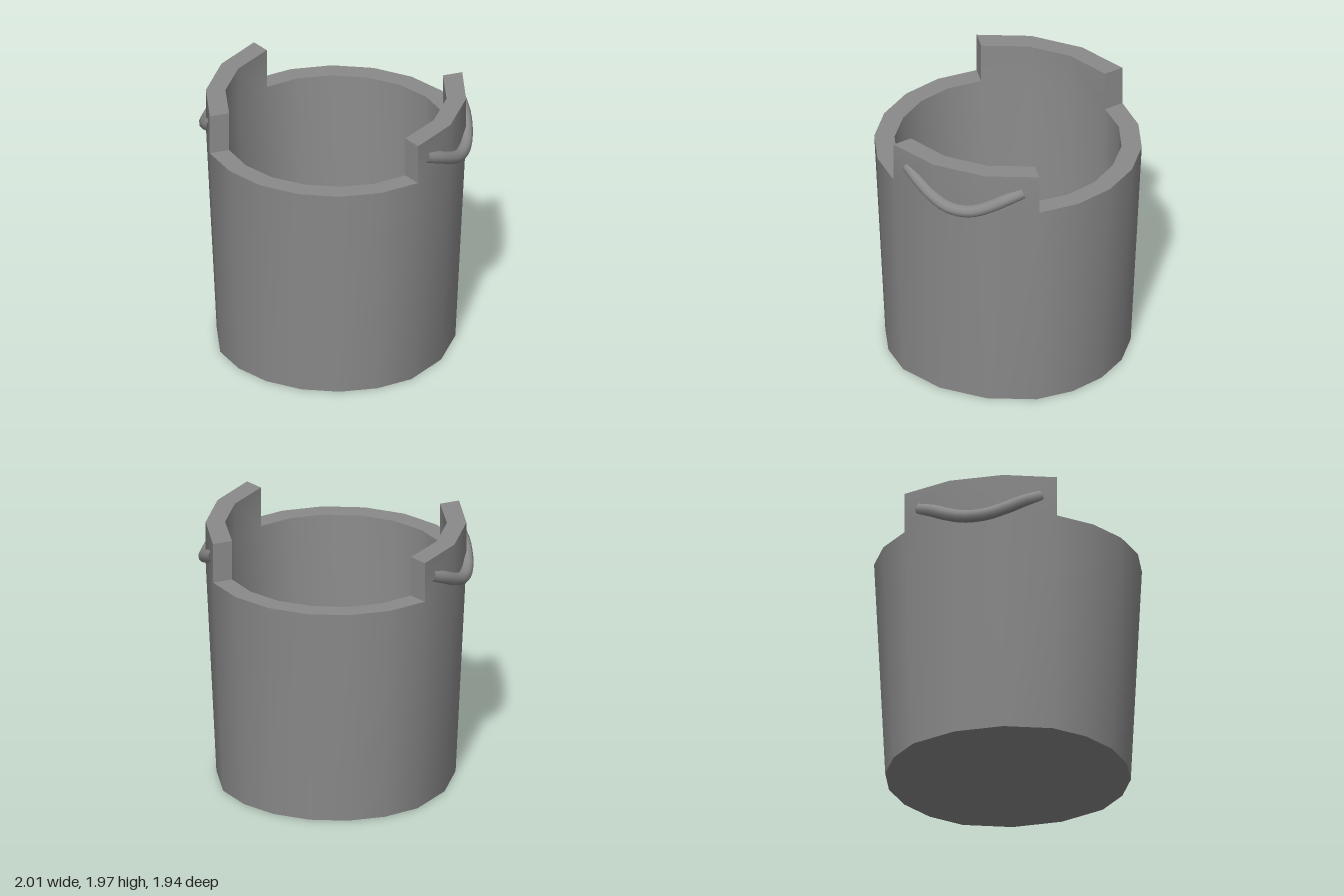
import * as THREE from 'three';

const RIM = 1.663, TOP = 1.968, FLOOR = 0.1;
const material = new THREE.MeshStandardMaterial({ color: 0x8a8a8a });

// Mirror a quarter outline [x, z] into a closed 18-sided ring, counter-clockwise from above
function ring(q) {
  const half = [...q, ...[...q].reverse().map(([x, z]) => [x, -z])];
  return [...half, ...half.slice(1, -1).reverse().map(([x, z]) => [-x, z])];
}
const outer = ring([[0, 0.97], [0.3, 0.923], [0.57, 0.785], [0.785, 0.57], [0.922, 0.2]]);
const inner = ring([[0, 0.82], [0.255, 0.783], [0.485, 0.667], [0.663, 0.485], [0.785, 0.165]]);
const N = outer.length;
const isTab = (i) => (i >= 3 && i < 6) || (i >= 12 && i < 15);
const at = (r, i, y, s = 1) => [r[i % N][0] * s, y, r[i % N][1] * s];

function geometry(positions, index) {
  const g = new THREE.BufferGeometry();
  g.setAttribute('position', new THREE.Float32BufferAttribute(positions, 3));
  if (index) g.setIndex(index);
  g.computeVertexNormals();
  return g;
}

// Smooth wall: tapered below the rim, upright on the two raised tabs
function wall(r, y0, s0, inward) {
  const rows = [[y0, s0], [RIM, 1], [TOP, 1]];
  const pos = rows.flatMap(([y, s]) => r.flatMap((_, i) => at(r, i, y, s)));
  const index = [];
  for (let row = 0; row < 2; row++) {
    for (let i = 0; i < N; i++) {
      if (row === 1 && !isTab(i)) continue;
      const a = row * N + i, b = row * N + (i + 1) % N, c = b + N, d = a + N;
      index.push(...(inward ? [a, c, b, a, d, c] : [a, b, c, a, c, d]));
    }
  }
  return geometry(pos, index);
}

// Flat disc bounded by a ring
function disc(r, y, s, down) {
  const pos = [0, y, 0, ...r.flatMap((_, i) => at(r, i, y, s))], index = [];
  for (let i = 0; i < N; i++) {
    const a = i + 1, b = (i + 1) % N + 1;
    index.push(0, ...(down ? [b, a] : [a, b]));
  }
  return geometry(pos, index);
}

// Flat rim, tab tops and the upright ends of the tabs
function rim() {
  const pos = [];
  const quad = (a, b, c, d) => pos.push(...a, ...b, ...c, ...a, ...c, ...d);
  for (let i = 0; i < N; i++) {
    const y = isTab(i) ? TOP : RIM;
    quad(at(outer, i, y), at(outer, i + 1, y), at(inner, i + 1, y), at(inner, i, y));
    const before = isTab((i + N - 1) % N);
    if (isTab(i) === before) continue;
    const e = [at(inner, i, RIM), at(outer, i, RIM), at(outer, i, TOP), at(inner, i, TOP)];
    quad(...(before ? e.reverse() : e));
  }
  return geometry(pos);
}

// Drooping grip whose ends sink into the wall
function handle() {
  const half = [[0.8, 1.82, 0.45], [0.872, 1.765, 0.335], [0.922, 1.7, 0.21], [0.952, 1.655, 0.08]];
  const points = [...half, ...[...half].reverse().map(([x, y, z]) => [x, y, -z])];
  const path = new THREE.CatmullRomCurve3(points.map((p) => new THREE.Vector3(...p)));
  return new THREE.TubeGeometry(path, 16, 0.047, 10);
}

export function createModel() {
  const model = new THREE.Group();
  model.name = 'bucket';
  const add = (name, geo) => {
    const mesh = new THREE.Mesh(geo, material);
    mesh.name = name;
    model.add(mesh);
    return mesh;
  };
  add('outerWall', wall(outer, 0, 0.917, false));
  add('innerWall', wall(inner, FLOOR, 0.912, true));
  add('rim', rim());
  add('base', disc(outer, 0, 0.917, true));
  add('floor', disc(inner, FLOOR, 0.912, false));
  add('leftHandle', handle());
  add('rightHandle', handle()).rotation.y = Math.PI;
  return model;
}
